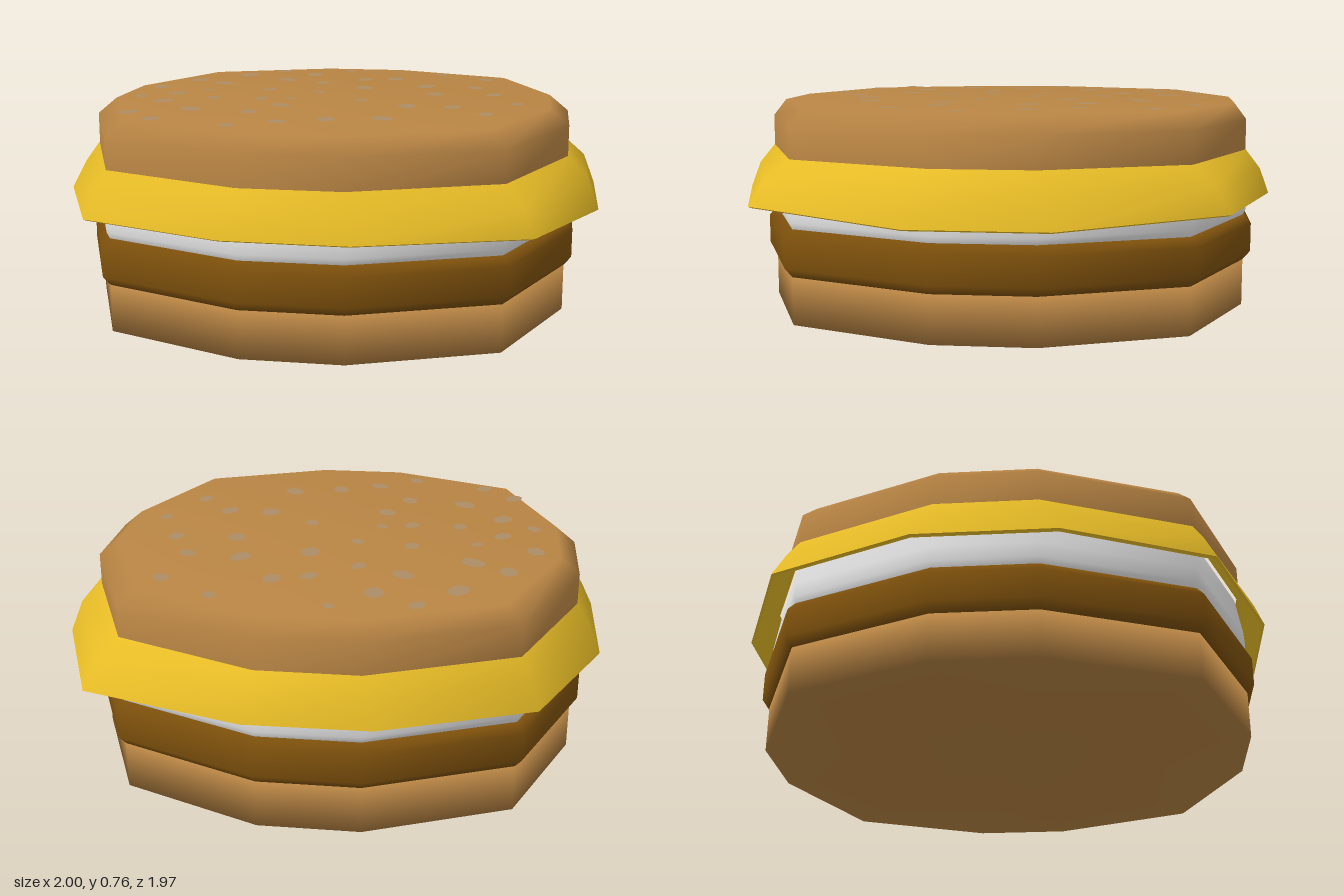
import * as THREE from 'three';

const mat = (name, color) => {
  const m = new THREE.MeshStandardMaterial({ color });
  m.name = name;
  return m;
};

// Twelve-sided bun outline as [x, z], clockwise seen from above
const BUN = [
  [-0.19, -0.9], [0.17, -0.9], [0.675, -0.69], [0.885, -0.19], [0.885, 0.17], [0.675, 0.69],
  [0.17, 0.895], [-0.19, 0.895], [-0.7, 0.69], [-0.91, 0.17], [-0.91, -0.19], [-0.7, -0.69],
];
// Drooping cheese lip as [x, y, z], matching the bun corners
const LIP = [
  [-0.235, 0.43, -0.98], [0.2, 0.43, -0.985], [0.775, 0.435, -0.815], [1, 0.405, -0.245],
  [1, 0.405, 0.24], [0.775, 0.435, 0.81], [0.2, 0.43, 0.98], [-0.235, 0.43, 0.975],
  [-0.765, 0.425, 0.76], [-1, 0.418, 0.24], [-1, 0.418, -0.25], [-0.765, 0.425, -0.765],
];
// Seeds as [x, z, size]
const SEEDS = [
  [-0.35, -0.71, 0.038], [-0.06, -0.75, 0.027], [-0.2, -0.615, 0.05], [-0.48, -0.565, 0.052],
  [-0.285, -0.435, 0.047], [0.35, -0.7, 0.032], [0.165, -0.525, 0.045], [0.04, -0.485, 0.04],
  [0.55, -0.56, 0.04], [-0.65, -0.365, 0.048], [-0.12, -0.365, 0.037], [-0.525, -0.285, 0.052],
  [-0.75, -0.14, 0.045], [-0.295, -0.13, 0.037], [-0.535, -0.085, 0.027], [-0.09, -0.105, 0.032],
  [0.07, -0.24, 0.05], [0.315, -0.32, 0.05], [0.515, -0.305, 0.04], [0.37, -0.11, 0.047],
  [0.6, -0.125, 0.042], [-0.63, 0.02, 0.042], [-0.75, 0.12, 0.035], [-0.465, 0.115, 0.037],
  [-0.28, 0.11, 0.037], [-0.165, 0.085, 0.028], [0.11, 0.095, 0.035], [0.695, 0.1, 0.033],
  [-0.63, 0.225, 0.048], [-0.17, 0.26, 0.045], [0.295, 0.21, 0.05], [0.46, 0.21, 0.045],
  [-0.475, 0.4, 0.05], [-0.25, 0.43, 0.042], [0.59, 0.355, 0.04], [-0.675, 0.505, 0.045],
  [0.24, 0.5, 0.05], [0.05, 0.55, 0.045], [-0.55, 0.63, 0.042], [-0.11, 0.62, 0.043],
  [-0.26, 0.72, 0.038],
];
const CX = -0.012;

// Bun outline scaled about its centre at height y
const ring = (y, s) => BUN.map(([x, z]) => [CX + (x - CX) * s, y, z * s]);

// Smooth skin through rings listed bottom to top, with optional end caps
function loft(rings, capBottom, capTop) {
  const n = BUN.length, pos = rings.flat(2), idx = [];
  for (let r = 0; r < rings.length - 1; r++) {
    for (let i = 0; i < n; i++) {
      const j = (i + 1) % n;
      const a = r * n + i, a2 = r * n + j, b = a + n, b2 = a2 + n;
      idx.push(a, b, a2, b, b2, a2);
    }
  }
  const cap = (r, up) => {
    const c = pos.length / 3;
    pos.push(CX, rings[r][0][1], 0);
    for (let i = 0; i < n; i++) {
      const a = r * n + i, b = r * n + ((i + 1) % n);
      if (up) idx.push(a, c, b);
      else idx.push(a, b, c);
    }
  };
  if (capBottom) cap(0, false);
  if (capTop) cap(rings.length - 1, true);
  const g = new THREE.BufferGeometry();
  g.setAttribute('position', new THREE.Float32BufferAttribute(pos, 3));
  g.setIndex(idx);
  g.computeVertexNormals();
  return g;
}

export function createModel() {
  const model = new THREE.Group();
  model.name = 'burger';
  const bun = mat('bun', 0xb98544);
  const patty = mat('patty', 0x80520c);
  const white = mat('white', 0xe6e6e6);
  const cheese = mat('cheese', 0xe6bb26);
  cheese.side = THREE.DoubleSide;
  const seed = mat('seed', 0xac8c65);

  const add = (name, geo, material, parent = model) => {
    const mesh = new THREE.Mesh(geo, material);
    mesh.name = name;
    parent.add(mesh);
    return mesh;
  };

  // Stacked layers
  add('bottomBun', loft([ring(0, 1), ring(0.175, 1)], true, true), bun);
  add('patty', loft([ring(0.172, 1), ring(0.205, 1.03), ring(0.31, 1.03), ring(0.342, 1)], true, true), patty);
  add('onionLayer', loft([ring(0.34, 0.995), ring(0.365, 1.008), ring(0.42, 1.005), ring(0.56, 0.98)], false, false), white);

  // Cheese: curved outer skirt plus a thin underside
  const top = ring(0.587, 1.001);
  const mid = LIP.map((p, i) => {
    const t = p[0] < -0.7 ? 0.48 : 0.62;
    return [
      THREE.MathUtils.lerp(top[i][0], p[0], t), 0.52,
      THREE.MathUtils.lerp(top[i][2], p[2], t),
    ];
  });
  const under = (pts, drop) => pts.map(([x, y, z]) => [x * 0.988, y - drop, z * 0.988]);
  add('cheeseSkirt', loft([LIP, mid, top], false, false), cheese);
  add('cheeseUnderside', loft([under(top, 0.02), under(mid, 0.015), under(LIP, 0.006), LIP], false, false), cheese);

  // Top bun with a chamfered rim
  const crown = ring(0.76, 1).map(([x, y, z]) => [CX + (x - CX) * 0.92, y, z * 0.95]);
  add('topBun', loft([ring(0.56, 1), ring(0.7, 1), crown], false, true), bun);

  // Seeds: thin oval plates at varied angles
  const seeds = new THREE.Group();
  seeds.name = 'seeds';
  model.add(seeds);
  SEEDS.forEach(([x, z, r], i) => {
    const g = new THREE.CircleGeometry(r, 9);
    g.scale(0.72, 1, 1).rotateZ(((i * 5) % 7) * 0.2 - 0.5).rotateX(-Math.PI / 2);
    add('seed', g, seed, seeds).position.set(x, 0.763, z);
  });

  return model;
}
